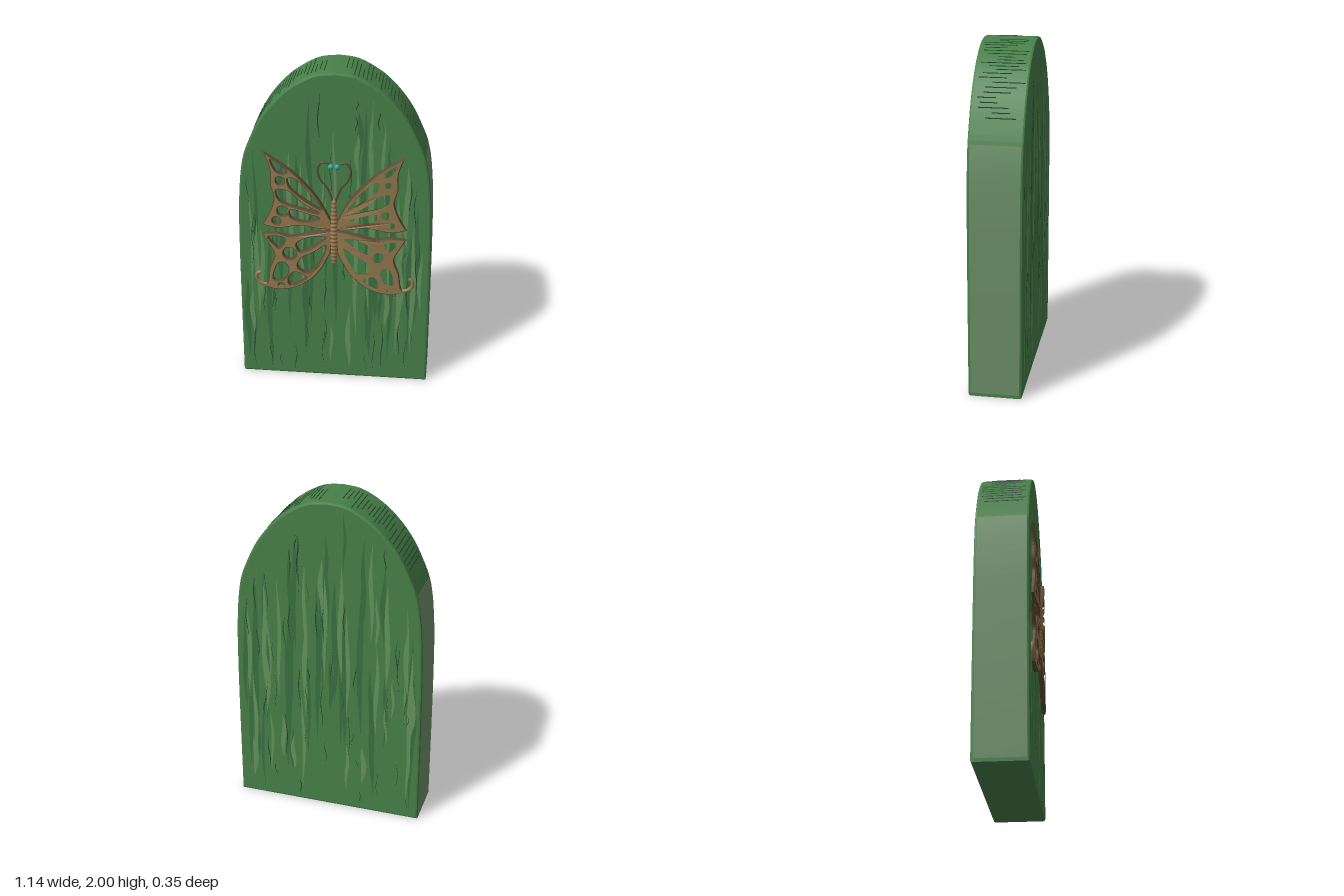
import * as THREE from 'three';
import { mergeGeometries } from 'three/addons/utils/BufferGeometryUtils.js';

const FRONT = 0.14, BACK = -0.175;
const mat = (color, side = THREE.FrontSide) => new THREE.MeshStandardMaterial({ color, side });
const v2 = ([x, y]) => new THREE.Vector2(x, y);

function mesh(name, geometry, material) {
  const m = new THREE.Mesh(geometry, material);
  m.name = name;
  return m;
}

let seed = 7;
function rand(a, b) {
  seed = (seed * 16807) % 2147483647;
  return a + (b - a) * (seed / 2147483647);
}

// Right half of the arched door outline, from the foot to the crown
const half = new THREE.SplineCurve([
  [0.57, 0], [0.57, 0.5], [0.568, 0.9], [0.56, 1.2], [0.533, 1.45], [0.475, 1.61],
  [0.405, 1.74], [0.31, 1.855], [0.22, 1.928], [0.11, 1.985], [0, 2],
].map(v2)).getPoints(50);

function halfWidth(y) {
  const i = Math.max(1, half.findIndex((p) => p.y >= y));
  const a = half[i - 1], b = half[i];
  return a.x + (b.x - a.x) * THREE.MathUtils.clamp((y - a.y) / (b.y - a.y), 0, 1);
}

function slab() {
  const left = half.slice(0, -1).reverse().map((p) => new THREE.Vector2(-p.x, p.y));
  const b = 0.012;
  const g = new THREE.ExtrudeGeometry(new THREE.Shape([...half, ...left]), {
    depth: FRONT - BACK - 2 * b, bevelThickness: b, bevelSize: b, bevelOffset: -b, bevelSegments: 2,
  });
  return g.translate(0, 0, BACK + b);
}

// Tapered, slightly wavy vertical strips of wood grain on both faces
function grain(count, width, minLen, maxLen, lift) {
  const strips = [];
  for (let i = 0; i < count; i++) {
    const x = rand(-0.53, 0.53), w = width * rand(0.5, 1.3);
    let top = 1.96;
    while (halfWidth(top) < Math.abs(x) + 0.035) top -= 0.02;
    const len = Math.min(rand(minLen, maxLen), top - 0.04);
    const y = rand(0.02 + len / 2, top - len / 2), phase = rand(0, 6);
    const g = new THREE.PlaneGeometry(w, len, 1, 12);
    const p = g.attributes.position;
    for (let k = 0; k < p.count; k++) {
      const t = p.getY(k) / len;
      p.setX(k, p.getX(k) * Math.cos(t * Math.PI) + 0.006 * Math.sin(t * 7 + phase));
    }
    if (i % 2) g.rotateY(Math.PI);
    strips.push(g.translate(x, y, i % 2 ? BACK - lift : FRONT + lift));
  }
  return mergeGeometries(strips);
}

// Short cracks running front to back over the arch
function archCracks() {
  const cracks = [];
  for (const s of [-1, 1]) for (let i = 0; i < 22; i++) {
    const k = 26 + i, p = half[k];
    const len = rand(0.08, 0.26);
    const g = new THREE.BoxGeometry(0.005, 0.005, len);
    cracks.push(g.translate(s * p.x, p.y - 0.001, rand(BACK + 0.02 + len / 2, FRONT - 0.02 - len / 2)));
  }
  return mergeGeometries(cracks);
}

// Smooth grey-green skin on the straight sides
function sidePanel(s) {
  const g = new THREE.PlaneGeometry(FRONT - BACK - 0.03, 1.48, 1, 20).rotateY(s * Math.PI / 2);
  g.translate(0, 0.76, (FRONT + BACK) / 2);
  const p = g.attributes.position;
  for (let i = 0; i < p.count; i++) p.setX(i, s * (halfWidth(p.getY(i)) + 0.0015));
  g.computeVertexNormals();
  return g;
}

// Wings: outlines are smooth runs meeting at sharp corners
const upperWing = {
  runs: [
    [[0.02, 1.1], [0.07, 1.2], [0.14, 1.3], [0.25, 1.41], [0.405, 1.515]],
    [[0.405, 1.515], [0.37, 1.41], [0.37, 1.31], [0.35, 1.225], [0.38, 1.13], [0.425, 1.05]],
    [[0.425, 1.05], [0.33, 1.035], [0.2, 1.06], [0.09, 1.045], [0.01, 1.035]],
  ],
  cells: [
    [[0.27, 1.4], [0.365, 1.472], [0.338, 1.405], [0.3, 1.385]],
    [[0.07, 1.17], [0.14, 1.27], [0.22, 1.357], [0.265, 1.36], [0.26, 1.31], [0.18, 1.235]],
    [[0.085, 1.145], [0.18, 1.205], [0.27, 1.28], [0.335, 1.28], [0.318, 1.215], [0.2, 1.172]],
    [[0.085, 1.11], [0.17, 1.142], [0.25, 1.16], [0.255, 1.115], [0.17, 1.085]],
  ],
  dots: [[0.312, 1.342, 0.026], [0.3, 1.147, 0.032], [0.338, 1.082, 0.025]],
};
const lowerWing = {
  runs: [
    [[0.01, 1.03], [0.12, 1.015], [0.25, 0.985], [0.33, 1], [0.425, 0.99]],
    [[0.425, 0.99], [0.385, 0.92], [0.355, 0.85], [0.385, 0.76], [0.4, 0.66], [0.43, 0.64]],
    [[0.43, 0.64], [0.35, 0.617], [0.22, 0.645], [0.1, 0.74], [0.02, 0.88]],
  ],
  cells: [
    [[0.05, 0.985], [0.14, 0.985], [0.222, 0.935], [0.2, 0.885], [0.12, 0.925]],
    [[0.05, 0.93], [0.12, 0.885], [0.2, 0.835], [0.215, 0.78], [0.15, 0.745], [0.08, 0.83]],
    [[0.165, 0.715], [0.235, 0.745], [0.272, 0.7], [0.265, 0.655], [0.215, 0.67]],
    [[0.29, 0.8], [0.325, 0.8], [0.355, 0.75], [0.36, 0.68], [0.3, 0.69], [0.27, 0.76]],
    [[0.29, 0.965], [0.34, 0.978], [0.39, 0.968], [0.352, 0.92], [0.325, 0.9]],
  ],
  dots: [[0.262, 0.87, 0.04], [0.318, 0.647, 0.017]],
};

// Wings arch away from the door between body and tip
const bow = (x) => 0.016 * Math.sin(Math.PI * Math.min(1, Math.abs(x) / 0.43) ** 0.8);

function wing({ runs, cells, dots }, s) {
  const flip = ([x, y]) => new THREE.Vector2(s * x, y);
  const outline = runs.flatMap((r) => new THREE.SplineCurve(r.map(flip)).getPoints(24).slice(0, -1));
  outline.push(flip(runs.at(-1).at(-1)));
  const shape = new THREE.Shape(outline);
  for (const c of cells) {
    const loop = new THREE.CatmullRomCurve3(c.map(([x, y]) => new THREE.Vector3(s * x, y, 0)), true);
    shape.holes.push(new THREE.Path(loop.getPoints(36).slice(0, -1).map((p) => new THREE.Vector2(p.x, p.y))));
  }
  for (const [x, y, r] of dots) shape.holes.push(new THREE.Path().absarc(s * x, y, r, 0, Math.PI * 2, true));
  const b = 0.006;
  const g = new THREE.ExtrudeGeometry(shape, {
    depth: 0.018, bevelThickness: b, bevelSize: b, bevelOffset: -b, bevelSegments: 2, curveSegments: 12,
  });
  g.translate(0, 0, FRONT - 0.008);
  const p = g.attributes.position;
  for (let i = 0; i < p.count; i++) if (p.getZ(i) > FRONT + 0.002) p.setZ(i, p.getZ(i) + bow(p.getX(i)));
  g.computeVertexNormals();
  return g;
}

function tube(points, s, r, z) {
  const curve = new THREE.CatmullRomCurve3(points.map(([x, y]) => new THREE.Vector3(s * x, y, z)));
  return new THREE.TubeGeometry(curve, 40, r, 8);
}

// Ringed body, thick in the middle and tapering to both ends
function body() {
  const profile = [];
  for (let i = 0; i <= 120; i++) {
    const t = i / 120;
    const swell = 0.012 + 0.014 * Math.sin(Math.PI * t ** 0.85);
    const r = swell * Math.min(1, Math.sqrt(Math.min(t, 1 - t) * 18));
    profile.push(new THREE.Vector2(r * (0.9 + 0.1 * Math.cos(t * Math.PI * 36)), 0.79 + 0.45 * t));
  }
  return new THREE.LatheGeometry(profile, 16).translate(0, 0, FRONT + 0.009);
}

export function createModel() {
  const model = new THREE.Group();
  model.name = 'arched door with butterfly';

  const door = new THREE.Group();
  door.name = 'door';
  door.add(
    mesh('doorSlab', slab(), mat(0x478049)),
    mesh('darkGrain', grain(70, 0.03, 0.3, 1.1, 0.0006), mat(0x3a7040)),
    mesh('lightGrain', grain(60, 0.026, 0.25, 0.9, 0.0012), mat(0x64935c)),
    mesh('cracks', grain(90, 0.005, 0.06, 0.35, 0.0018), mat(0x1f4529)),
    mesh('archCracks', archCracks(), mat(0x1f4529)),
  );
  for (const s of [1, -1]) door.add(mesh(s > 0 ? 'leftSide' : 'rightSide', sidePanel(s), mat(0x6b8f68)));

  const butterfly = new THREE.Group();
  butterfly.name = 'butterfly';
  const bronze = mat(0x94774c), edge = mat(0x5c4a34), teal = mat(0x2fa3a8);
  butterfly.add(mesh('body', body(), bronze));
  for (const s of [1, -1]) {
    const side = s > 0 ? 'left' : 'right';
    const tail = [[0.39, 0.64], [0.435, 0.645], [0.466, 0.675], [0.465, 0.71], [0.44, 0.725]];
    const feeler = [[0.008, 1.22], [0.04, 1.3], [0.085, 1.36], [0.095, 1.42], [0.07, 1.46], [0.035, 1.455], [0.018, 1.44]];
    const bead = new THREE.SphereGeometry(0.016, 16, 12).translate(s * 0.018, 1.44, FRONT + 0.014);
    butterfly.add(
      mesh(side + 'UpperWing', wing(upperWing, s), [bronze, edge]),
      mesh(side + 'LowerWing', wing(lowerWing, s), [bronze, edge]),
      mesh(side + 'WingTail', tube(tail, s, 0.011, FRONT + 0.006), bronze),
      mesh(side + 'Antenna', tube(feeler, s, 0.006, FRONT + 0.004), edge),
      mesh(side + 'AntennaBead', bead, teal),
    );
  }

  model.add(door, butterfly);
  return model;
}
